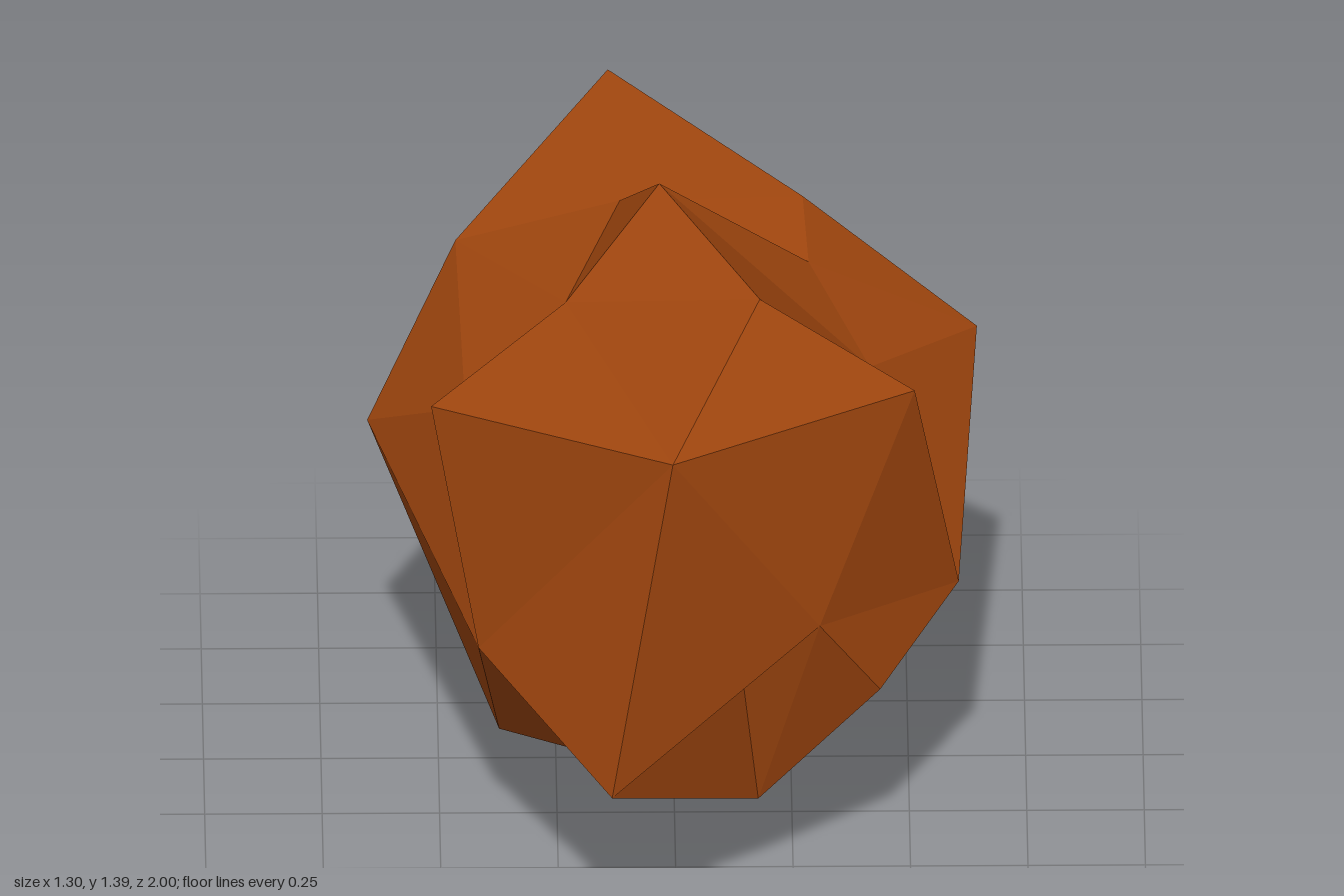
import * as THREE from 'three';

// Corner points of the boulder, one letter each
const P = {
  // crown
  A: [-0.03, 1.39, 0.015], B: [0.18, 1.325, 0.42], J: [0.418, 0.967, 0.055],
  c: [0.29, 1.08, -0.21], d: [-0.11, 1.132, -0.395], F: [-0.23, 1.15, 0.1],
  // shoulder
  C: [-0.01, 1.2, 0.935], E: [-0.52, 1.09, 0.457], R: [-0.445, 0.96, 0.22],
  Q: [-0.46, 1.03, -0.41], a: [-0.13, 1.137, -0.98], b: [0.28, 1.09, -0.49],
  H: [0.65, 0.83, -0.387], I: [0.605, 0.557, 0.257], D: [0.51, 1.09, 0.395],
  // waist
  L: [0.305, 0.68, 0.69], N: [-0.14, 0.432, 1.0], O: [-0.42, 0.557, 0.55],
  G: [-0.65, 0.72, -0.18], f: [-0.22, 0.55, -0.42], Z: [-0.412, 0.66, -1.0],
  X: [0.265, 0.768, -0.715], W: [0.49, 0.51, -0.432], K: [0.435, 0.453, 0.55],
  M: [0.138, 0.586, 0.704],
  // base
  e: [-0.245, 0.34, -0.576], Y: [0.096, 0.404, -0.785], V: [0.298, 0.468, -0.115],
  U: [0.315, 0.286, 0.153], T: [0.175, 0.212, 0.59], p: [-0.373, 0.187, 0.22],
  S: [0.057, 0, -0.32],
};

// Facets as fans: hub first, then its rim counter-clockwise seen from outside
const FANS = [
  'ABJcdFB',                 // peak
  'CBFEONLDB',               // front
  'IDLKTUVWHJD',             // +x side
  'QRFdaZefGR',              // -x side
  'SVUpeZYWV',               // underside
  'HWXbcJ', 'adbXYZ',        // back
  'OERGpTN', 'TKLMN',        // lower front
  'dcb', 'JBD', 'YXW', 'EFR', 'NML', 'UTp', 'pGe', 'eGf', // filling facets
];

function fanGeometry(points, fans) {
  const positions = [];
  for (const [hub, ...rim] of fans) {
    for (let i = 0; i + 1 < rim.length; i++) {
      for (const key of [hub, rim[i], rim[i + 1]]) positions.push(...points[key]);
    }
  }
  const geometry = new THREE.BufferGeometry();
  geometry.setAttribute('position', new THREE.Float32BufferAttribute(positions, 3));
  geometry.computeVertexNormals(); // unshared corners give flat facets
  return geometry;
}

export function createModel() {
  const rustStone = new THREE.MeshStandardMaterial({ color: 0xa4480f });
  rustStone.name = 'rustStone';
  rustStone.flatShading = true;

  const boulder = new THREE.Mesh(fanGeometry(P, FANS), rustStone);
  boulder.name = 'boulder';

  const group = new THREE.Group();
  group.name = 'rock';
  group.add(boulder);
  return group;
}
